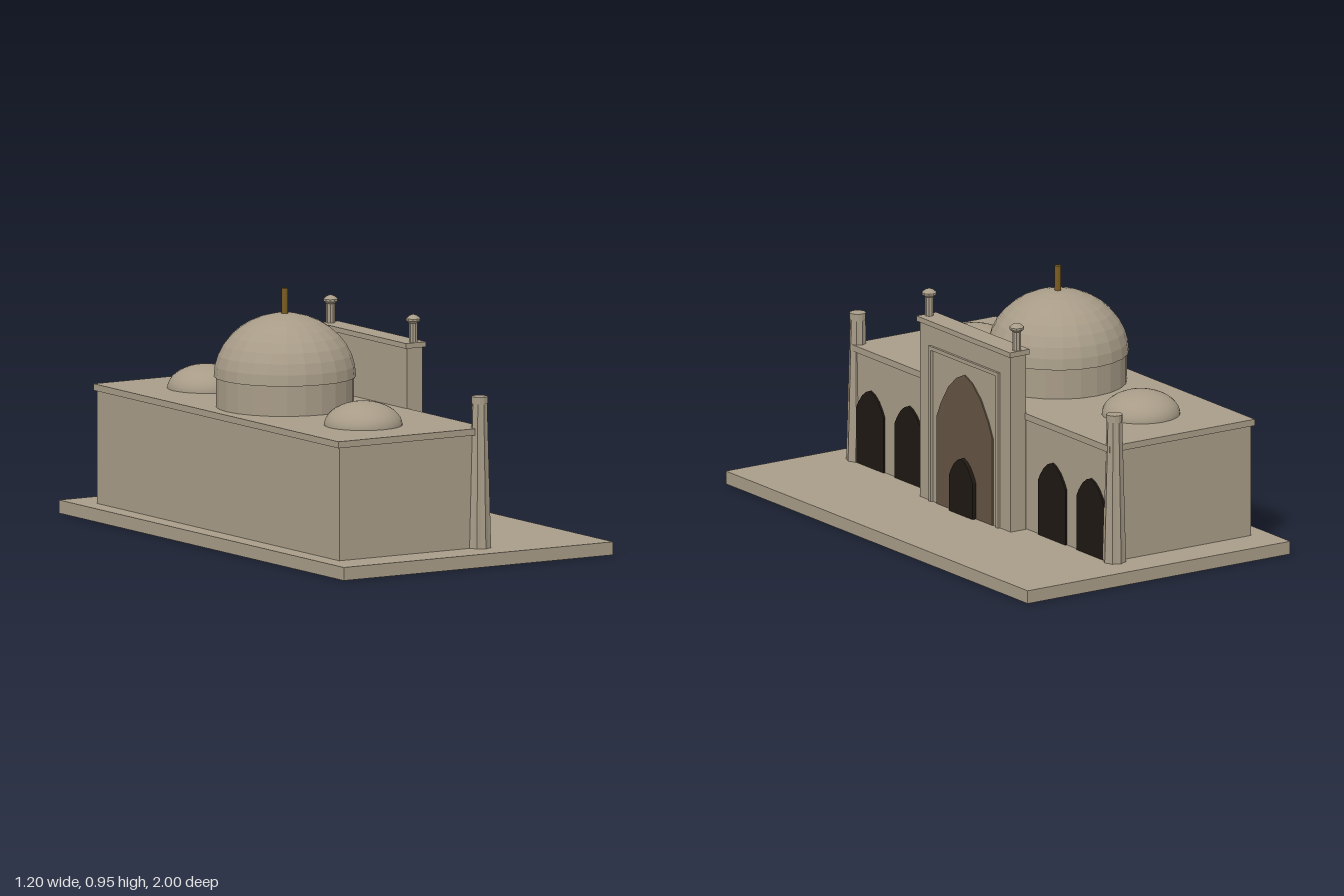
import * as THREE from 'three';

const stone = new THREE.MeshStandardMaterial({ color: 0xa89c88 });
const stoneFlat = new THREE.MeshStandardMaterial({ color: 0xa89c88, flatShading: true });
const stoneOpen = new THREE.MeshStandardMaterial({ color: 0xa89c88, side: THREE.DoubleSide });
const niche = new THREE.MeshStandardMaterial({ color: 0x635443 });
const dark = new THREE.MeshStandardMaterial({ color: 0x1e1812 });
const bronze = new THREE.MeshStandardMaterial({ color: 0x7a5c22 });

const BASE = 0.05, ROOF = 0.505, DOME_X = -0.228;

export function createModel() {
  const model = new THREE.Group();
  model.name = 'domedBuilding';

  const add = (name, geometry, material, x = 0, y = 0, z = 0) => {
    const mesh = new THREE.Mesh(geometry, material);
    mesh.name = name;
    mesh.position.set(x, y, z);
    model.add(mesh);
    return mesh;
  };

  // Box given by its limits on each axis
  const box = (name, [x0, x1], [y0, y1], [z0, z1], material = stone) =>
    add(name, new THREE.BoxGeometry(x1 - x0, y1 - y0, z1 - z0), material,
      (x0 + x1) / 2, (y0 + y1) / 2, (z0 + z1) / 2);

  // Pointed arch slab facing +x; the curve runs from the springing to the apex
  const arch = (name, half, spring, rise, x0, x1, z, material) => {
    const curve = [[1, 0], [0.84, 0.3], [0.58, 0.65], [0.28, 0.89], [0, 1]];
    const right = curve.map(([u, v]) => new THREE.Vector2(u * half, spring + v * rise));
    const left = right.slice(0, -1).reverse().map((p) => new THREE.Vector2(-p.x, p.y));
    const shape = new THREE.Shape([
      new THREE.Vector2(-half, BASE), new THREE.Vector2(half, BASE), ...right, ...left]);
    const geometry = new THREE.ExtrudeGeometry(shape, { depth: x1 - x0, bevelEnabled: false });
    geometry.rotateY(Math.PI / 2);
    add(name, geometry, material, x0, 0, z);
  };

  // Flattened half sphere
  const dome = (name, radius, height, y, z, rows, material) => {
    const geometry = new THREE.SphereGeometry(radius, 24, rows, 0, Math.PI * 2, 0, Math.PI / 2);
    geometry.scale(1, height / radius, 1);
    add(name, geometry, material, DOME_X, y, z);
  };

  // Platform, hollow underneath
  const platform = box('platform', [-0.6, 0.6], [0, BASE], [-1, 1], stoneOpen);
  const faces = Array.from(platform.geometry.index.array);
  faces.splice(18, 6);
  platform.geometry.setIndex(faces);
  platform.geometry.clearGroups();

  // Main hall and roof slab
  box('hall', [-0.525, 0.12], [BASE, 0.48], [-0.85, 0.85]);
  box('roofSlab', [-0.535, 0.13], [0.48, ROOF], [-0.86, 0.86]);

  // Central dome on its drum, with finial
  add('drum', new THREE.CylinderGeometry(0.26, 0.26, 0.115, 24), stoneFlat, DOME_X, 0.5625, 0);
  dome('mainDome', 0.268, 0.24, 0.62, 0, 9, stoneFlat);
  add('domeUnderside', new THREE.CircleGeometry(0.268, 24).rotateX(Math.PI / 2), stone, DOME_X, 0.62, 0);
  add('finial', new THREE.CylinderGeometry(0.013, 0.013, 0.105, 10), bronze, DOME_X, 0.9025, 0);

  // Portal block with cap
  box('portal', [0.125, 0.195], [BASE, 0.735], [-0.3, 0.3]);
  box('portalCap', [0.115, 0.205], [0.735, 0.755], [-0.31, 0.31]);
  box('frameTop', [0.19, 0.205], [0.642, 0.657], [-0.23, 0.23]);
  arch('portalArch', 0.185, 0.39, 0.205, 0.18, 0.2, 0, niche);
  arch('portalDoor', 0.078, 0.19, 0.08, 0.19, 0.216, 0, dark);

  // Tapered corner tower with ribs
  const towerGeometry = new THREE.CylinderGeometry(0.028, 0.042, 0.55, 16);
  const pos = towerGeometry.attributes.position;
  for (let i = 0; i < pos.count; i++) {
    const angle = Math.atan2(pos.getX(i), pos.getZ(i));
    const rib = 1 + 0.06 * Math.cos(angle * 8);
    pos.setX(i, pos.getX(i) * rib);
    pos.setZ(i, pos.getZ(i) * rib);
  }

  const pinnacleProfile = [[0.017, 0.755], [0.017, 0.828], [0.028, 0.837], [0.028, 0.845],
    [0.015, 0.856], [0, 0.861]].map(([r, y]) => new THREE.Vector2(r, y));

  // Mirrored parts on both wings
  for (const s of [1, -1]) {
    dome('sideDome', 0.148, 0.09, ROOF, s * 0.55, 10, stone);
    box('frameSide', [0.19, 0.205], [BASE, 0.642], [s * 0.2225 - 0.0075, s * 0.2225 + 0.0075]);
    add('pinnacle', new THREE.LatheGeometry(pinnacleProfile, 10), stoneFlat, 0.16, 0, s * 0.29);
    add('cornerTower', towerGeometry, stoneFlat, 0.1, BASE + 0.275, s * 0.85);
    add('towerCap', new THREE.CylinderGeometry(0.031, 0.031, 0.027, 12), stoneFlat, 0.1, 0.612, s * 0.85);
    for (const z of [0.475, 0.73]) {
      arch('sideArch', 0.09, 0.265, 0.085, 0.1, 0.128, s * z, dark);
    }
  }
  return model;
}
